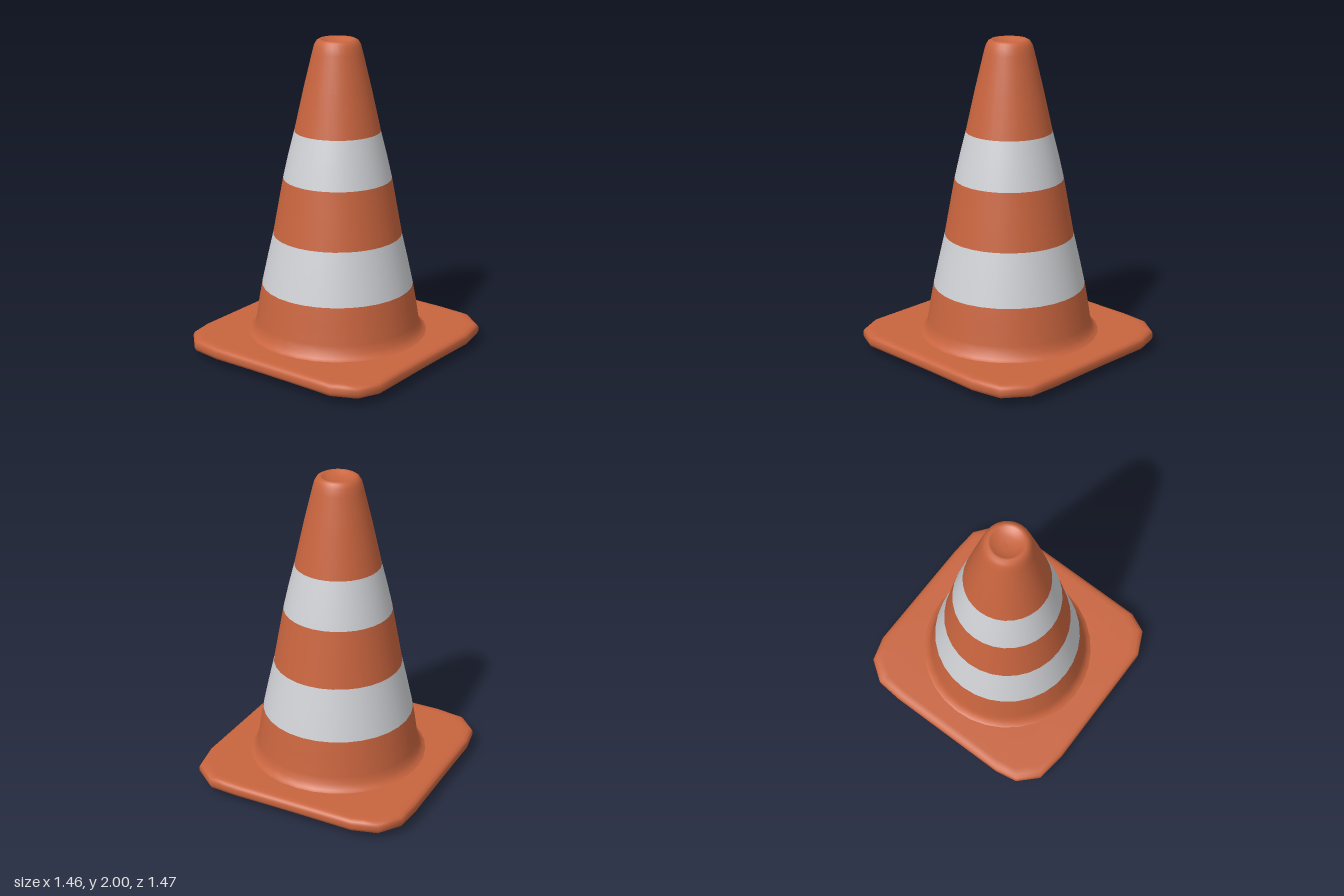
import * as THREE from 'three';

const orange = new THREE.MeshStandardMaterial({ color: 0xc8643e });
orange.name = 'orange rubber';
const white = new THREE.MeshStandardMaterial({ color: 0xd0d1d5 });
white.name = 'pale reflective band';

// Rounded-square outline of the foot (x, z)
const outline = [
  [-0.62, -0.69], [-0.46, -0.737], [0.345, -0.737], [0.54, -0.725],
  [0.69, -0.61], [0.73, -0.415], [0.72, 0.53], [0.66, 0.66],
  [0.505, 0.733], [-0.39, 0.737], [-0.585, 0.71], [-0.70, 0.595],
  [-0.727, 0.445], [-0.73, -0.385], [-0.715, -0.557],
];

// Splits the long sides so the underside can bend
function subdivide(points) {
  const out = [];
  points.forEach(([x, z], i) => {
    const [nx, nz] = points[(i + 1) % points.length];
    const steps = Math.ceil(Math.hypot(nx - x, nz - z) / 0.15);
    for (let s = 0; s < steps; s++) {
      out.push([x + (nx - x) * s / steps, z + (nz - z) * s / steps]);
    }
  });
  return out;
}

// Loops of the outline from top centre, over the rim, to bottom centre
function baseGeometry() {
  const loop = subdivide(outline);
  const n = loop.length;
  // scale, height, drop towards the corners
  const rings = [
    [0, 0.125, 0], [0.7, 0.125, 0], [0.92, 0.126, 0], [0.965, 0.124, 0],
    [0.99, 0.114, 0], [1, 0.098, 0], [1, 0.072, 0], [0.99, 0.056, 0.004],
    [0.96, 0.046, 0.008], [0.9, 0.045, 0.025], [0.82, 0.045, 0.045],
    [0.7, 0.045, 0.038], [0.4, 0.045, 0.01], [0, 0.045, 0],
  ];
  const positions = [], index = [];
  rings.forEach(([scale, y, drop], r) => {
    loop.forEach(([x, z], i) => {
      const corner = Math.sin(2 * Math.atan2(z, x)) ** 2;
      positions.push(x * scale, y - drop * corner, z * scale);
      if (r === rings.length - 1) return;
      const a = r * n + i, b = r * n + (i + 1) % n;
      index.push(a, b, a + n, b, b + n, a + n);
    });
  });
  const geometry = new THREE.BufferGeometry();
  geometry.setAttribute('position', new THREE.Float32BufferAttribute(positions, 3));
  geometry.setIndex(index);
  geometry.computeVertexNormals();
  return geometry;
}

export function createModel() {
  const group = new THREE.Group();
  group.name = 'trafficCone';

  const base = new THREE.Mesh(baseGeometry(), orange);
  base.name = 'base';
  group.add(base);

  // Cone body, stacked from bottom to top (radius, height)
  const sections = [
    ['coneFoot', orange, [[0.575, 0.122], [0.55, 0.135], [0.53, 0.165], [0.518, 0.21], [0.5, 0.33], [0.48, 0.44]]],
    ['lowerBand', white, [[0.48, 0.44], [0.443, 0.61], [0.406, 0.77]]],
    ['coneMiddle', orange, [[0.406, 0.77], [0.373, 0.95], [0.34, 1.13]]],
    ['upperBand', white, [[0.34, 1.13], [0.306, 1.28], [0.268, 1.43]]],
    ['coneTip', orange, [[0.268, 1.43], [0.208, 1.7], [0.155, 1.92], [0.143, 1.965],
      [0.128, 1.99], [0.11, 2], [0.095, 1.995], [0.075, 1.98], [0.04, 1.972], [0, 1.97]]],
  ];
  const cone = new THREE.Group();
  cone.name = 'cone';
  cone.position.z = -0.008;
  for (const [name, material, profile] of sections) {
    const points = profile.map(([r, y]) => new THREE.Vector2(r, y));
    const mesh = new THREE.Mesh(new THREE.LatheGeometry(points, 32), material);
    mesh.name = name;
    cone.add(mesh);
  }
  group.add(cone);
  return group;
}
